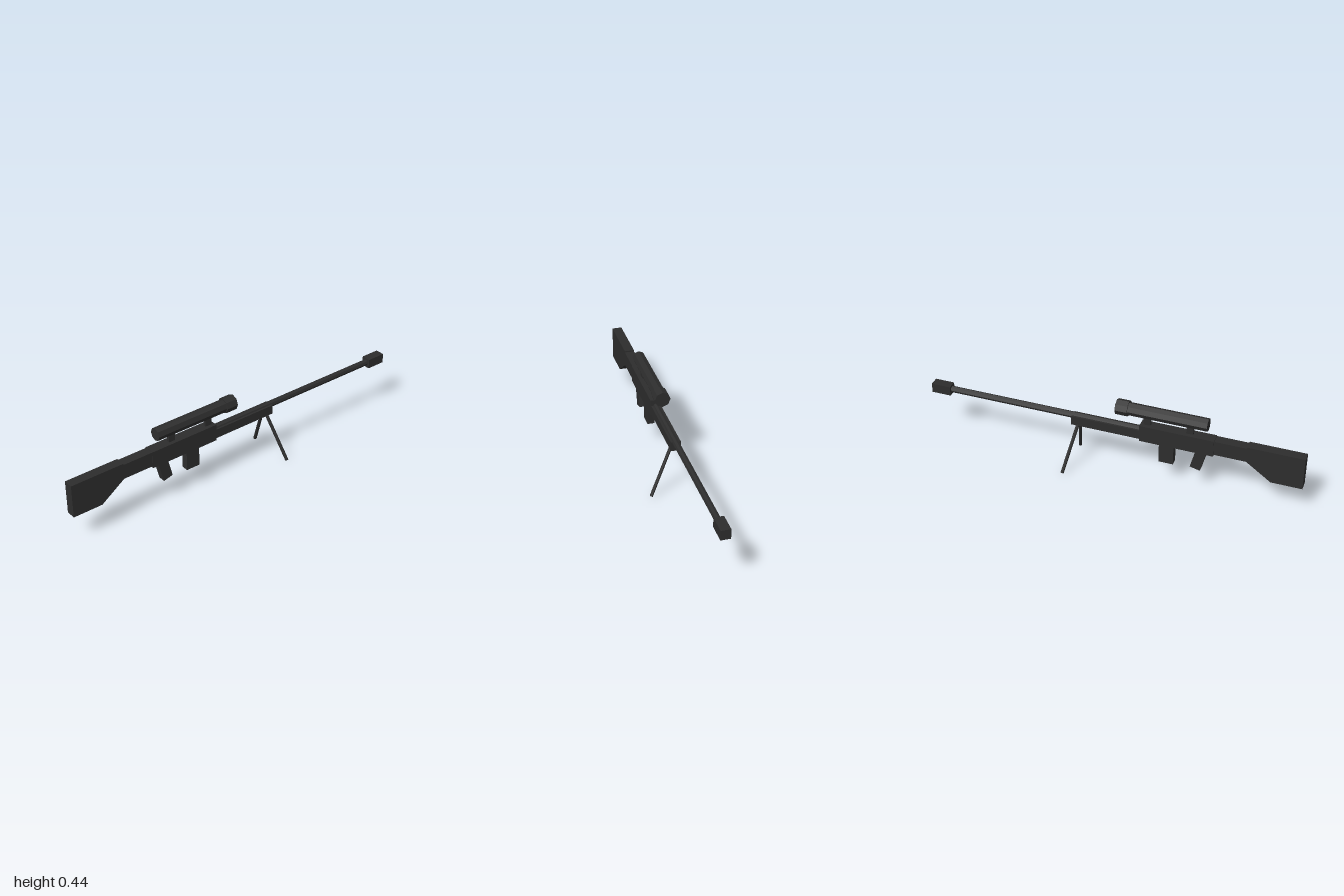
import * as THREE from 'three';

export function createModel() {
  const model = new THREE.Group();
  const metal = new THREE.MeshStandardMaterial({ color: 0x2d2d2d });
  metal.name = 'charcoal';

  const add = (name, geometry) => {
    const flat = geometry.index ? geometry.toNonIndexed() : geometry;
    flat.computeVertexNormals();
    const mesh = new THREE.Mesh(flat, metal);
    mesh.name = name;
    model.add(mesh);
    return mesh;
  };
  // Box given by its half width and its y and z ranges
  const box = (name, halfWidth, y0, y1, z0, z1) =>
    add(name, new THREE.BoxGeometry(halfWidth * 2, y1 - y0, z1 - z0))
      .position.set(0, (y0 + y1) / 2, (z0 + z1) / 2);
  // Eight-sided rod along z, corners on the axes
  const rod = (name, radius, y, z0, z1) => {
    const g = new THREE.CylinderGeometry(radius, radius, z1 - z0, 8).rotateX(Math.PI / 2);
    add(name, g).position.set(0, y, (z0 + z1) / 2);
  };

  // Stock: side profile in (z, y), extruded across x
  const profile = [[1, 0.153], [1, 0.333], [0.71, 0.333], [0.71, 0.326], [0.53, 0.326],
    [0.53, 0.246], [0.71, 0.246], [0.84, 0.153]];
  const shape = new THREE.Shape(profile.map(([z, y]) => new THREE.Vector2(-z, y)));
  const stock = new THREE.ExtrudeGeometry(shape, { depth: 0.052, bevelEnabled: false });
  add('stock', stock.translate(0, 0, -0.026).rotateY(Math.PI / 2));

  // Body and barrel
  box('receiver', 0.029, 0.236, 0.328, 0.155, 0.543);
  box('forend', 0.025, 0.245, 0.295, -0.213, 0.155);
  rod('barrel', 0.017, 0.29, -0.9, 0.16);
  box('muzzleBrake', 0.025, 0.263, 0.315, -1, -0.895);

  // Magazine and raked grip
  box('magazine', 0.019, 0.126, 0.24, 0.258, 0.335);
  const grip = add('grip', new THREE.BoxGeometry(0.038, 0.13, 0.055));
  grip.position.set(0, 0.193, 0.466);
  grip.rotation.x = 0.25;

  // Sight tube with its wider front bell and two mounts
  rod('sightTube', 0.034, 0.4, 0.04, 0.505);
  rod('sightBell', 0.041, 0.4, 0.028, 0.092);
  for (const z of [0.19, 0.413]) box('sightMount', 0.009, 0.32, 0.38, z - 0.018, z + 0.018);

  // Splayed bipod legs
  for (const side of [-1, 1]) {
    const top = new THREE.Vector3(side * 0.016, 0.25, -0.178);
    const foot = new THREE.Vector3(side * 0.131, 0.005, -0.226);
    const along = top.clone().sub(foot);
    const leg = add('bipodLeg', new THREE.CylinderGeometry(0.009, 0.009, along.length(), 8));
    leg.position.copy(top).add(foot).multiplyScalar(0.5);
    leg.quaternion.setFromUnitVectors(new THREE.Vector3(0, 1, 0), along.normalize());
  }
  return model;
}
